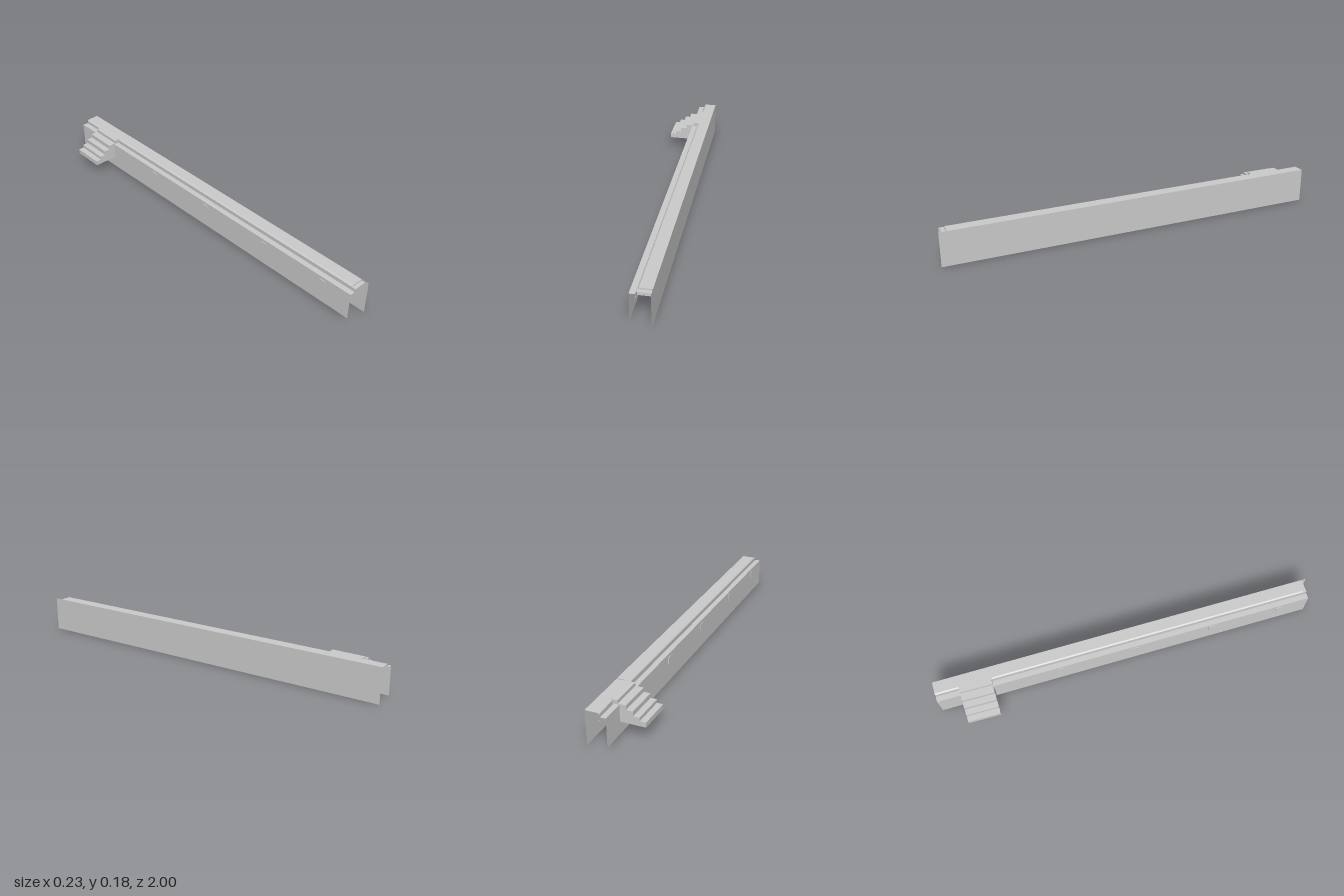
import * as THREE from 'three';

const material = new THREE.MeshStandardMaterial({ color: 0xcccccc, side: THREE.DoubleSide, flatShading: true });

// Open sheet: an xy profile swept straight along z
function strip(points, z0, z1) {
  const pos = [];
  for (let i = 0; i < points.length - 1; i++) {
    const [ax, ay] = points[i], [bx, by] = points[i + 1];
    pos.push(ax, ay, z0, ax, ay, z1, bx, by, z1, ax, ay, z0, bx, by, z1, bx, by, z0);
  }
  const g = new THREE.BufferGeometry();
  g.setAttribute('position', new THREE.Float32BufferAttribute(pos, 3));
  g.computeVertexNormals();
  return g;
}

// Flat panel in the xy plane
function panel(points, z) {
  const shape = new THREE.Shape(points.map(([x, y]) => new THREE.Vector2(x, y)));
  return new THREE.ShapeGeometry(shape).translate(0, 0, z);
}

function add(parent, name, geometry) {
  const mesh = new THREE.Mesh(geometry, material);
  mesh.name = name;
  parent.add(mesh);
  return mesh;
}

export function createModel() {
  const model = new THREE.Group();
  model.name = 'rampartWall';
  const inner = 0.014, outer = 0.114, seam = -0.71;

  // Tall outer face and shorter inner face
  add(model, 'outerWall', strip([[outer, 0], [outer, 0.178]], -1, 1));
  add(model, 'innerWall', strip([[inner, 0.012], [inner, 0.157]], -1, 0.98));

  // Walkway, gutter and chamfered parapet, in two lengths
  const top = [[inner, 0.157], [0.042, 0.157], [0.042, 0.14], [0.047, 0.14],
    [0.047, 0.172], [0.054, 0.178], [outer, 0.178]];
  add(model, 'mainWalkway', strip(top, seam, 0.96));
  const lowered = top.map(([x, y]) => [x, y > 0.16 ? y - 0.002 : y]);
  add(model, 'gateWalkway', strip(lowered, -1, seam));

  // Stepped finish at the front end
  const ledge = [[inner, 0.157], [0.042, 0.157], [0.042, 0.14], [0.047, 0.14],
    [0.047, 0.17], [outer, 0.17]];
  add(model, 'endLedge', strip(ledge, 0.96, 0.98));
  add(model, 'parapetEnd', panel([[0.047, 0.14], [0.112, 0.14], [0.112, 0.178],
    [0.054, 0.178], [0.047, 0.172]], 0.96));

  // Small plates along the inner wall
  for (const z of [-0.36, 0.04, 0.45, 0.82]) {
    add(model, 'wallPlate', new THREE.BoxGeometry(0.01, 0.034, 0.034).translate(0.0155, 0.124, z));
  }

  // Staircase, open underneath, running up through the inner wall
  const stairs = new THREE.Group();
  stairs.name = 'staircase';
  const treads = [[-0.113, 0.073], [-0.113, 0.098], [-0.083, 0.098], [-0.083, 0.116],
    [-0.052, 0.116], [-0.052, 0.139], [-0.019, 0.139], [-0.019, 0.161],
    [0.021, 0.161], [0.021, 0.1775], [0.075, 0.1775]];
  const underside = [[0.075, 0.137], [0.042, 0.137], [0.042, 0.117], [0.015, 0.117], [0.015, 0.073]];
  const half = 0.084;
  add(stairs, 'treads', strip(treads, -half, half));
  add(stairs, 'landingUnderside', strip(underside, -half, half));
  for (const side of [-1, 1]) add(stairs, 'stairSide', panel([...treads, ...underside], side * half));
  stairs.position.z = -0.795;
  stairs.rotation.y = -0.015;
  model.add(stairs);

  return model;
}
